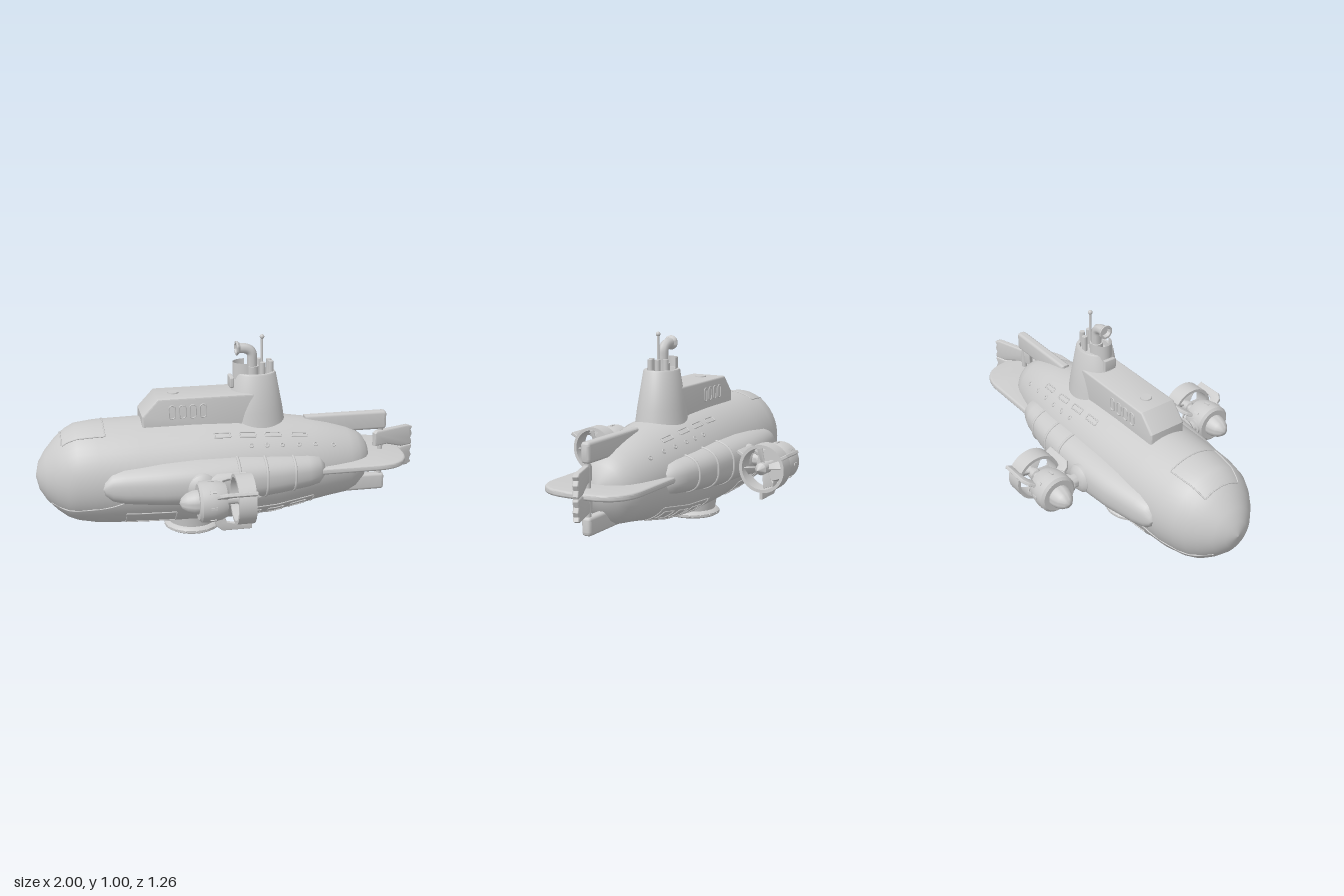
import * as THREE from 'three';
import { toCreasedNormals } from 'three/addons/utils/BufferGeometryUtils.js';

const mat = new THREE.MeshStandardMaterial({ color: 0xcccccc, side: THREE.DoubleSide });
const V = (x, y, z) => new THREE.Vector3(x, y, z);

function add(parent, name, geo, x = 0, y = 0, z = 0) {
  const m = new THREE.Mesh(geo, mat);
  m.name = name;
  m.position.set(x, y, z);
  parent.add(m);
  return m;
}

// Sections run along x: [x, centre y, half height, centre z, half depth]
function sectionAt(secs, x) {
  let i = 0;
  while (i < secs.length - 2 && secs[i + 1][0] < x) i++;
  const [a, b] = [secs[i], secs[i + 1]];
  const k = (x - a[0]) / (b[0] - a[0]);
  return a.map((v, n) => v + (b[n] - v) * k);
}
function ringPoint([x, cy, ry, cz, rz], t, power, lift = 0) {
  const f = (v) => Math.sign(v) * Math.abs(v) ** (2 / power);
  return V(x, cy + (ry + lift) * f(Math.cos(t)), cz + (rz + lift) * f(Math.sin(t)));
}
function loft(secs, power, n) {
  const pos = [], idx = [];
  secs.forEach((s, i) => {
    for (let j = 0; j < n; j++) {
      pos.push(...ringPoint(s, (j / n) * Math.PI * 2, power));
      if (i === secs.length - 1) continue;
      const a = i * n + j, b = i * n + ((j + 1) % n);
      idx.push(a, b, a + n, b, b + n, a + n);
    }
  });
  const g = new THREE.BufferGeometry();
  g.setAttribute('position', new THREE.Float32BufferAttribute(pos, 3));
  g.setIndex(idx);
  g.computeVertexNormals();
  return g;
}
const tube = (pts, r, closed = false, seg = 40, tension = 0.5) =>
  new THREE.TubeGeometry(new THREE.CatmullRomCurve3(pts, closed, 'catmullrom', tension), seg, r, 8, closed);
const lathe = (pts, seg = 40) =>
  toCreasedNormals(new THREE.LatheGeometry(pts.map((p) => new THREE.Vector2(...p)), seg), 0.6);
const latheX = (pts, seg) => lathe(pts, seg).rotateZ(-Math.PI / 2);
function plate(shape, thick, bevel = 0.008) {
  const s = Array.isArray(shape) ? new THREE.Shape(shape.map((p) => new THREE.Vector2(...p))) : shape;
  const depth = thick - 2 * bevel;
  const g = new THREE.ExtrudeGeometry(s, { depth, bevelSize: bevel, bevelThickness: bevel, bevelOffset: -bevel, bevelSegments: 3, curveSegments: 16 });
  return toCreasedNormals(g.translate(0, 0, -depth / 2), 0.6);
}
function roundRect(x0, y0, x1, y1, r) {
  const s = new THREE.Shape();
  s.moveTo(x0, y0).lineTo(x1 - r, y0).quadraticCurveTo(x1, y0, x1, y0 + r);
  s.lineTo(x1, y1 - r).quadraticCurveTo(x1, y1, x1 - r, y1).lineTo(x0, y1);
  return s;
}

const HULL = [
  [-1, 0.33, 0.003, 0.003], [-0.985, 0.33, 0.07, 0.065], [-0.95, 0.33, 0.128, 0.117], [-0.9, 0.333, 0.183, 0.168],
  [-0.85, 0.335, 0.225, 0.205], [-0.8, 0.338, 0.248, 0.23], [-0.7, 0.334, 0.263, 0.252], [-0.5, 0.33, 0.27, 0.265],
  [-0.2, 0.325, 0.275, 0.27], [0, 0.32, 0.274, 0.265], [0.2, 0.318, 0.257, 0.25], [0.4, 0.322, 0.222, 0.217],
  [0.5, 0.319, 0.202, 0.196], [0.6, 0.31, 0.18, 0.168], [0.65, 0.312, 0.155, 0.145], [0.69, 0.318, 0.117, 0.113],
  [0.715, 0.325, 0.07, 0.07], [0.73, 0.33, 0.003, 0.003],
].map(([x, cy, ry, rz]) => [x, cy, ry, 0, rz]);

const POD = [
  [-0.685, 0.33, 0.003, 0.2, 0.06], [-0.675, 0.33, 0.045, 0.19, 0.082], [-0.64, 0.33, 0.08, 0.18, 0.105],
  [-0.58, 0.33, 0.096, 0.18, 0.122], [-0.4, 0.33, 0.112, 0.18, 0.153], [-0.22, 0.33, 0.12, 0.18, 0.166],
  [0, 0.33, 0.116, 0.18, 0.155], [0.2, 0.33, 0.1, 0.17, 0.14], [0.35, 0.33, 0.086, 0.16, 0.118],
  [0.41, 0.33, 0.077, 0.15, 0.105], [0.44, 0.33, 0.05, 0.13, 0.09], [0.445, 0.33, 0.003, 0.12, 0.06],
];

// Raised frame following the hull, angle t measured from the top
function hullFrame(g, name, x0, x1, t0, t1, r = 0.0035) {
  const pts = [], n = 8;
  const put = (x, t) => pts.push(ringPoint(sectionAt(HULL, x), t, 2, 0.001));
  for (let i = 0; i < n; i++) put(x0 + ((x1 - x0) * i) / n, t0);
  for (let i = 0; i < n; i++) put(x1, t0 + ((t1 - t0) * i) / n);
  for (let i = 0; i < n; i++) put(x1 + ((x0 - x1) * i) / n, t1);
  for (let i = 0; i < n; i++) put(x0, t1 + ((t0 - t1) * i) / n);
  add(g, name, tube(pts, r, true, 64));
}

function thruster() {
  const g = new THREE.Group();
  g.name = 'thruster';
  add(g, 'nacelle', latheX([[0, -0.35], [0.025, -0.34], [0.045, -0.315], [0.056, -0.285], [0.058, -0.262], [0.085, -0.262],
    [0.098, -0.25], [0.1, -0.2], [0.092, -0.155], [0.082, -0.13], [0, -0.13]]));
  add(g, 'duct', latheX([[0.105, -0.085], [0.121, -0.085], [0.121, 0], [0.105, 0], [0.105, -0.085]], 48));
  add(g, 'propellerShaft', latheX([[0.022, -0.14], [0.022, -0.07], [0.03, -0.065], [0.03, 0.005], [0.022, 0.012], [0, 0.05]], 20));
  const strut = [[-0.19, 0.085], [-0.175, 0.13], [-0.145, 0.155], [0, 0.155], [0, 0.118], [-0.095, 0.118], [-0.125, 0.11], [-0.135, 0.08]];
  for (let i = 0; i < 3; i++) {
    add(g, 'ductStrut', plate(strut, 0.018, 0.004)).rotation.x = Math.PI + (i * Math.PI * 2) / 3;
  }
  for (let i = 0; i < 4; i++) {
    const blade = plate([[-0.014, 0.02], [0.014, 0.02], [0.026, 0.1], [-0.026, 0.1]], 0.008, 0.002);
    blade.rotateY(0.9).translate(-0.035, 0, 0).rotateX(0.25 + (i * Math.PI) / 2);
    add(g, 'propellerBlade', blade);
  }
  for (let i = 0; i < 8; i++) {
    const a = (i * Math.PI) / 4;
    add(g, 'nacelleSlot', new THREE.BoxGeometry(0.03, 0.008, 0.012).translate(-0.2, 0.099, 0).rotateX(a));
  }
  return g;
}

function buildSide(s) {
  const g = new THREE.Group();
  g.name = s > 0 ? 'leftSide' : 'rightSide';
  const pod = POD.map(([x, cy, ry, cz, rz]) => [x, cy, ry, cz * s, rz]);
  add(g, 'sidePod', loft(pod, 2.5, 40));
  for (const x of [-0.02, 0.12, 0.27]) {
    const pts = Array.from({ length: 40 }, (_, j) => ringPoint(sectionAt(pod, x), (j / 40) * Math.PI * 2, 2.5));
    add(g, 'podRib', tube(pts, 0.007, true, 80));
  }
  // Thruster and its mount
  const t = thruster();
  t.position.set(0, 0.33, s * 0.495);
  g.add(t);
  const mount = lathe([[0.075, 0.32], [0.072, 0.342], [0.055, 0.358], [0.034, 0.364], [0.034, 0.39], [0.045, 0.393], [0.045, 0.415], [0, 0.415]], 28);
  add(g, 'thrusterMount', mount.rotateX((s * Math.PI) / 2), -0.21, 0.33, 0);
  // Hull windows, portholes and panels
  for (const x of [-0.12, 0.01, 0.14, 0.28]) hullFrame(g, 'hullWindow', x, x + 0.08, s * 0.62, s * 0.72);
  for (const x of [0.06, 0.14, 0.22, 0.31, 0.4, 0.5]) {
    const p = ringPoint(sectionAt(HULL, x), s * 0.9, 2);
    const m = add(g, 'porthole', new THREE.TorusGeometry(0.009, 0.004, 6, 16), p.x, p.y, p.z);
    m.quaternion.setFromUnitVectors(V(0, 0, 1), V(0, Math.cos(0.9), s * Math.sin(0.9)));
  }
  hullFrame(g, 'lowerPanel', -0.57, -0.32, s * 2.2, s * 2.6);
  hullFrame(g, 'rearPanel', 0.0, 0.4, s * 2.25, s * 2.85);
  for (const x of [0.04, 0.16, 0.28]) hullFrame(g, 'rearPanelWindow', x, x + 0.08, s * 2.4, s * 2.7);
  const seam = [[-0.93, 2.5], [-0.85, 2.25], [-0.75, 2.1], [-0.65, 2], [-0.55, 1.85]];
  add(g, 'bowSeam', tube(seam.map(([x, t2]) => ringPoint(sectionAt(HULL, x), s * t2, 2)), 0.004));
  // Deckhouse slot windows
  for (let i = 0; i < 4; i++) {
    const pts = Array.from({ length: 20 }, (_, j) => {
      const a = (j / 20) * Math.PI * 2;
      return V(-0.32 + i * 0.052 + 0.016 * Math.cos(a), 0.65 + 0.018 * Math.sign(Math.sin(a)) + 0.016 * Math.sin(a), s * 0.1);
    });
    add(g, 'deckhouseWindow', tube(pts, 0.0035, true, 48));
  }
  return g;
}

function buildTower() {
  const g = new THREE.Group();
  g.name = 'conningTower';
  const shell = lathe([[0.13, 0.52], [0.122, 0.58], [0.117, 0.62], [0.087, 0.805], [0.083, 0.812], [0.07, 0.812], [0.068, 0.785], [0, 0.785]], 48);
  add(g, 'towerShell', shell.scale(1.22, 1, 1), 0.12, 0, 0);
  // Curved windscreen at the front of the cockpit
  const screen = new THREE.CylinderGeometry(0.054, 0.054, 0.085, 24, 1, true, Math.PI, Math.PI);
  add(g, 'windscreen', screen.scale(1.3, 1, 1), 0.075, 0.823, 0);
  add(g, 'periscope', tube([V(0.105, 0.78, 0), V(0.105, 0.87, 0), V(0.1, 0.91, 0), V(0.075, 0.93, 0), V(0.035, 0.935, 0)], 0.026, false, 32));
  const horn = latheX([[0.026, 0], [0.036, -0.012], [0.036, -0.02], [0.026, -0.02], [0.022, 0], [0, 0]].reverse(), 24);
  add(g, 'periscopeHead', horn, 0.04, 0.935, 0);
  add(g, 'periscopeCollar', new THREE.CylinderGeometry(0.033, 0.033, 0.06, 20), 0.105, 0.81, 0);
  add(g, 'antenna', new THREE.CylinderGeometry(0.006, 0.008, 0.21, 10), 0.155, 0.885, 0);
  add(g, 'antennaBall', new THREE.SphereGeometry(0.012, 14, 10), 0.155, 0.988, 0);
  for (const s of [-1, 1]) {
    add(g, 'ventPipe', new THREE.CylinderGeometry(0.014, 0.014, 0.085, 14), 0.15, 0.823, s * 0.04);
    add(g, 'ventPipe', new THREE.CylinderGeometry(0.014, 0.014, 0.085, 14), 0.197, 0.823, s * 0.02);
  }
  add(g, 'towerWindow', plate(roundRect(-0.035, -0.03, 0.035, 0.03, 0.012), 0.02, 0.005), -0.005, 0.765, 0).rotation.set(0, -Math.PI / 2, 0);
  return g;
}

export function createModel() {
  const g = new THREE.Group();
  g.name = 'submarine';
  add(g, 'hull', loft(HULL, 2, 48));
  hullFrame(g, 'bowPanel', -0.87, -0.66, -0.55, 0.55);
  g.add(buildSide(1), buildSide(-1), buildTower());

  // Deckhouse with sloped front and round hatch
  add(g, 'deckhouse', plate([[-0.47, 0.54], [-0.47, 0.635], [-0.39, 0.722], [0.1, 0.722], [0.1, 0.54]], 0.2, 0.01));
  add(g, 'deckHatch', new THREE.CylinderGeometry(0.028, 0.03, 0.01, 24), -0.3, 0.723, 0);

  // Docking collar beneath the hull
  const collar = lathe([[0, 0.03], [0.095, 0.03], [0.1, 0.004], [0.108, 0], [0.133, 0], [0.144, 0.007], [0.144, 0.02],
    [0.133, 0.03], [0.122, 0.034], [0.132, 0.1]]);
  add(g, 'dockingCollar', collar, -0.21, 0, 0);
  add(g, 'collarHatch', new THREE.TorusGeometry(0.07, 0.006, 8, 32).rotateX(Math.PI / 2), -0.21, 0.028, 0);
  for (let i = 0; i < 16; i++) {
    const a = (i * Math.PI) / 8;
    add(g, 'collarBolt', new THREE.SphereGeometry(0.006, 8, 6), -0.21 + 0.142 * Math.cos(a), 0.014, 0.142 * Math.sin(a));
  }

  // Tail planes, fins and the deflected rudder
  add(g, 'tailPlane', plate(roundRect(0.3, -0.243, 0.91, 0.243, 0.2), 0.032, 0.012).rotateX(Math.PI / 2), 0, 0.33, 0);
  add(g, 'upperFin', plate(roundRect(0.38, 0.46, 0.825, 0.56, 0.02), 0.048, 0.015));
  add(g, 'lowerFin', plate(roundRect(0.42, 0.122, 0.825, 0.212, 0.02), 0.048, 0.015));
  add(g, 'finPost', new THREE.CylinderGeometry(0.014, 0.014, 0.36, 14), 0.8, 0.34, 0);
  for (const s of [-1, 1]) {
    const half = [[-0.06, 0.03], [-0.06, 0.1], [-0.045, 0.112], [0.16, 0.112], [0.188, 0.1], [0.178, 0.082],
      [0.188, 0.06], [0.178, 0.038], [0.188, 0.012], [0.183, 0], [0.115, 0], [0.02, 0.03]];
    const rudder = plate(half.map(([x, y]) => [x, y * s]), 0.03, 0.007);
    add(g, 'rudder', rudder, 0.815, 0.34, 0).rotation.y = 0.33;
  }
  return g;
}
